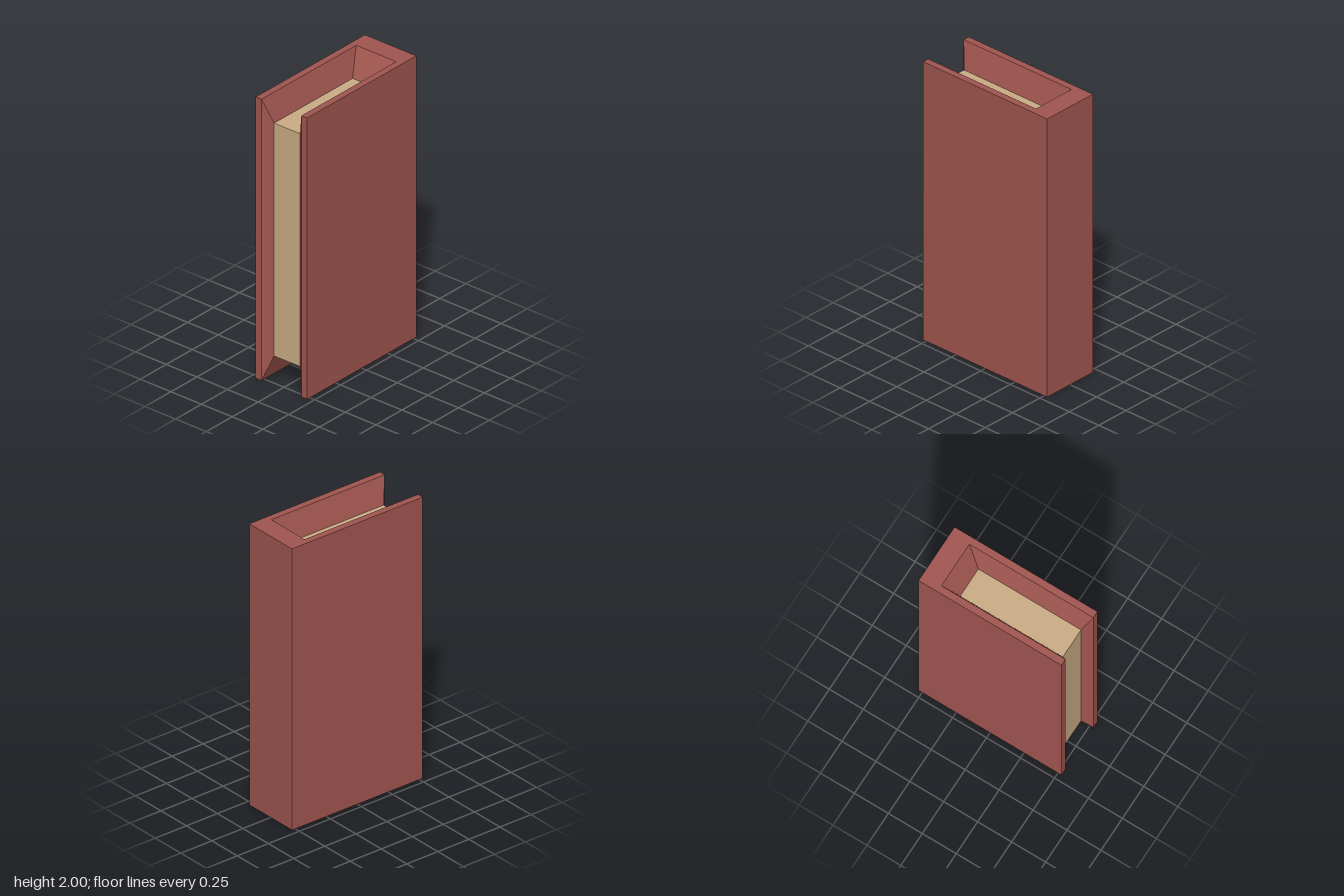
import * as THREE from 'three';

// Outer half width, rim half width, page half width, and heights / depths
const W = 0.21, R = 0.163, P = 0.106;
const H = 2, LIFT = 0.172;
const BACK = -0.526, FRONT = 0.526;
const RIM_BACK = -0.387, PAGE_BACK = -0.285, PAGE_FRONT = 0.471;

// Flat-faced geometry from quads whose corners run counter-clockwise
function quadGeometry(quads) {
  const pos = quads.flatMap(([a, b, c, d]) => [a, b, c, a, c, d].flat());
  const g = new THREE.BufferGeometry();
  g.setAttribute('position', new THREE.Float32BufferAttribute(pos, 3));
  g.computeVertexNormals();
  return g;
}

// Mirror a quad across an axis, keeping it facing outward
const mirror = (q, fn) => q.map(fn).reverse();
const flipX = ([x, y, z]) => [-x, y, z];
const flipY = ([x, y, z]) => [x, H - y, z];

function coverGeometry() {
  // Top end of the left board: flat edge and bevel down to the pages
  const ends = [
    [[R, H, FRONT], [W, H, FRONT], [W, H, RIM_BACK], [R, H, RIM_BACK]],
    [[R, H, FRONT], [R, H, RIM_BACK], [P, H - LIFT, PAGE_BACK], [P, H - LIFT, PAGE_FRONT]],
  ];
  // Full-height faces of the left board: outside, front edge, front bevel
  const boards = [
    [[W, 0, FRONT], [W, 0, BACK], [W, H, BACK], [W, H, FRONT]],
    [[R, 0, FRONT], [W, 0, FRONT], [W, H, FRONT], [R, H, FRONT]],
    [[P, LIFT, PAGE_FRONT], [R, 0, FRONT], [R, H, FRONT], [P, H - LIFT, PAGE_FRONT]],
  ];
  // Top end of the spine: flat edge and bevel
  const spineEnds = [
    [[-W, H, RIM_BACK], [W, H, RIM_BACK], [W, H, BACK], [-W, H, BACK]],
    [[-P, H - LIFT, PAGE_BACK], [P, H - LIFT, PAGE_BACK], [R, H, RIM_BACK], [-R, H, RIM_BACK]],
  ];
  const spine = [[[W, 0, BACK], [-W, 0, BACK], [-W, H, BACK], [W, H, BACK]]];

  const left = [...ends, ...ends.map(q => mirror(q, flipY)), ...boards];
  return quadGeometry([
    ...left, ...left.map(q => mirror(q, flipX)),
    ...spineEnds, ...spineEnds.map(q => mirror(q, flipY)), ...spine,
  ]);
}

export function createModel() {
  const group = new THREE.Group();
  group.name = 'book';

  const cover = new THREE.Mesh(coverGeometry(), new THREE.MeshStandardMaterial({ color: 0xa25650 }));
  cover.name = 'cover';

  // Page block held between the bevels
  const pages = new THREE.Mesh(
    new THREE.BoxGeometry(2 * P, H - 2 * LIFT, PAGE_FRONT - PAGE_BACK),
    new THREE.MeshStandardMaterial({ color: 0xcbae85 })
  );
  pages.name = 'pages';
  pages.position.set(0, H / 2, (PAGE_FRONT + PAGE_BACK) / 2);

  group.add(cover, pages);
  return group;
}
